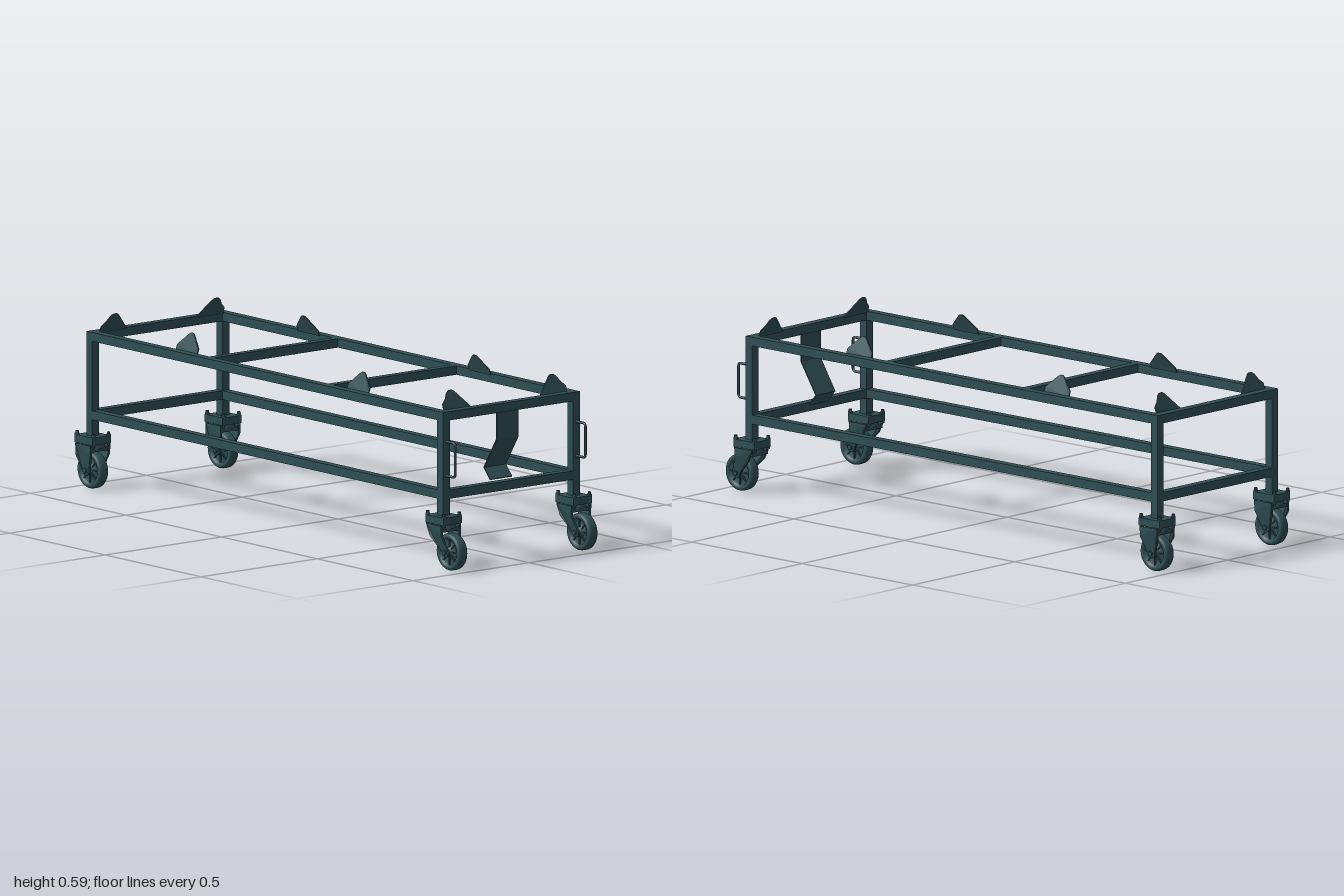
import * as THREE from 'three';

const paint = new THREE.MeshStandardMaterial({ color: 0x2f4f55, side: THREE.DoubleSide });
const X0 = -0.94, X1 = 0.893, Z = 0.28, BAR = 0.03;

function add(parent, name, geo, x = 0, y = 0, z = 0) {
  const m = new THREE.Mesh(geo, paint);
  m.name = name;
  m.position.set(x, y, z);
  parent.add(m);
  return m;
}
const box = (w, h, d) => new THREE.BoxGeometry(w, h, d);
const rod = (r, len, n = 20) => new THREE.CylinderGeometry(r, r, len, n);
const polygon = pts => new THREE.Shape(pts.map(p => new THREE.Vector2(...p)));

// Shift z as a function of y, to lean a flat plate
function lean(geo, rule) {
  const p = geo.attributes.position;
  for (let i = 0; i < p.count; i++) p.setZ(i, p.getZ(i) + rule(p.getY(i)));
  geo.computeVertexNormals();
  return geo;
}

// Thin guide tab leaning inward; outline in (along rail, height above rail)
function tab(pts) {
  const g = new THREE.ExtrudeGeometry(polygon(pts), { depth: 0.004, bevelEnabled: false });
  return lean(g, y => Math.max(y, 0) * 0.42);
}

// Wheel with tyre, recessed web, hub and ribs; axle along z
function buildWheel() {
  const wheel = new THREE.Group();
  wheel.name = 'wheel';
  const half = [[0.008, 0.021], [0.016, 0.021], [0.018, 0.009], [0.042, 0.009], [0.044, 0.017],
    [0.052, 0.019], [0.058, 0.018], [0.0615, 0.013], [0.0625, 0.006]];
  const profile = [...half, ...half.slice().reverse().map(([r, a]) => [r, -a])];
  const tyre = new THREE.LatheGeometry(profile.map(p => new THREE.Vector2(...p)).reverse(), 40);
  add(wheel, 'tyre', tyre).rotation.x = Math.PI / 2;
  for (let i = 0; i < 8; i++) {
    const a = i * Math.PI / 4;
    const rib = add(wheel, 'wheelRib', box(0.03, 0.004, 0.028), 0.03 * Math.cos(a), 0.03 * Math.sin(a));
    rib.rotation.z = a;
  }
  return wheel;
}

// Caster below a post; offset is the trail of the wheel along x
function buildCaster(offset) {
  const caster = new THREE.Group();
  caster.name = 'caster';
  add(caster, 'mountingPlate', box(0.094, 0.026, 0.08), 0, 0.167, 0);
  add(caster, 'swivelRace', new THREE.CylinderGeometry(0.036, 0.042, 0.018, 28), 0, 0.147, 0);
  add(caster, 'forkCrown', box(0.074, 0.012, 0.076), 0, 0.135, 0);
  for (const dx of [-1, 1]) for (const dz of [-1, 1]) {
    add(caster, 'plateBolt', rod(0.006, 0.046, 6), dx * 0.042, 0.17, dz * 0.033);
    add(caster, 'plateBoltWasher', rod(0.008, 0.006, 12), dx * 0.042, 0.182, dz * 0.033);
  }
  // Fork legs taper down to the axle and pinch in towards it
  const outline = new THREE.Shape();
  outline.moveTo(-0.04, 0.152);
  outline.lineTo(0.04, 0.152);
  outline.lineTo(0.038, 0.118);
  outline.lineTo(offset + 0.017, 0.064);
  outline.absarc(offset, 0.0625, 0.016, 0, -Math.PI, true);
  outline.lineTo(-0.038 + offset * 0.4, 0.112);
  outline.closePath();
  for (const s of [1, -1]) {
    const leg = lean(new THREE.ExtrudeGeometry(outline, { depth: 0.008, bevelEnabled: false, curveSegments: 10 }),
      y => 0.022 + 0.013 * THREE.MathUtils.clamp((y - 0.06) / 0.05, 0, 1));
    if (s < 0) leg.rotateY(Math.PI).scale(-1, 1, 1);
    add(caster, 'forkLeg', leg);
    add(caster, 'axleNut', rod(0.009, 0.008, 6), offset, 0.0625, s * 0.033).rotation.x = Math.PI / 2;
  }
  add(caster, 'axle', rod(0.006, 0.074, 14), offset, 0.0625, 0).rotation.x = Math.PI / 2;
  const wheel = buildWheel();
  wheel.position.set(offset, 0.0625, 0);
  caster.add(wheel);
  return caster;
}

// U-shaped pull handle with rounded corners, projecting along +x
function handleGeometry() {
  const path = new THREE.CurvePath();
  const v = (x, y) => new THREE.Vector3(x, y, 0);
  const h = 0.058, d = 0.046, r = 0.012;
  path.add(new THREE.LineCurve3(v(-0.02, h), v(d - r, h)));
  path.add(new THREE.QuadraticBezierCurve3(v(d - r, h), v(d, h), v(d, h - r)));
  path.add(new THREE.LineCurve3(v(d, h - r), v(d, r - h)));
  path.add(new THREE.QuadraticBezierCurve3(v(d, r - h), v(d, -h), v(d - r, -h)));
  path.add(new THREE.LineCurve3(v(d - r, -h), v(-0.02, -h)));
  return new THREE.TubeGeometry(path, 60, 0.0045, 10);
}

export function createModel() {
  const cart = new THREE.Group();
  cart.name = 'cartFrame';
  const mid = (X0 + X1) / 2, len = X1 - X0;

  // Posts and casters
  for (const s of [-1, 1]) for (const x of [X0, X1]) {
    add(cart, 'cornerPost', box(BAR, 0.35, BAR), x, 0.355, s * Z);
    const caster = buildCaster(x === X1 ? 0.044 : 0);
    caster.position.set(x, 0, s * Z);
    cart.add(caster);
  }

  // Upper and lower rails
  for (const y of [0.515, 0.25]) {
    for (const s of [-1, 1]) add(cart, 'sideRail', box(len - BAR, BAR, BAR), mid, y, s * Z);
    for (const x of [X0, X1]) add(cart, 'endRail', box(BAR, BAR, 2 * Z - BAR), x, y, 0);
  }
  for (const x of [-0.335, 0.285]) add(cart, 'crossRail', box(0.028, BAR, 2 * Z - BAR), x, 0.515, 0);

  // Guide tabs in the middle of the sides
  const sidePts = [[-0.056, -0.004], [0.056, -0.004], [0.056, 0.015], [0.014, 0.054], [0.006, 0.059],
    [-0.006, 0.059], [-0.014, 0.054], [-0.056, 0.015]];
  for (const x of [-0.47, 0.425]) for (const s of [-1, 1]) {
    add(cart, 'sideGuideTab', tab(sidePts), x, 0.53, s * 0.265).rotation.y = s > 0 ? Math.PI : 0;
  }

  // Guide tabs at the corners, on the end rails
  const cornerPts = [[0.15, -0.004], [0.265, -0.004], [0.265, 0.018], [0.247, 0.034], [0.237, 0.05],
    [0.227, 0.058], [0.212, 0.059], [0.203, 0.054], [0.15, 0]];
  for (const end of [-1, 1]) for (const s of [-1, 1]) {
    const t = add(cart, 'cornerGuideTab', tab(cornerPts.map(([u, y]) => [u * s, y])), end < 0 ? -0.925 : 0.878, 0.53, 0);
    t.rotation.y = -end * Math.PI / 2;
  }

  // Pull handles on the right-hand end posts
  for (const s of [-1, 1]) add(cart, 'pullHandle', handleGeometry(), 0.908, 0.372, s * Z);

  // Bent hanging plate on the same end
  const plate = polygon([[0.888, 0.505], [0.888, 0.405], [0.822, 0.302], [0.854, 0.266],
    [0.851, 0.263], [0.818, 0.302], [0.884, 0.407], [0.884, 0.505]]);
  add(cart, 'bentPlate', new THREE.ExtrudeGeometry(plate, { depth: 0.094, bevelEnabled: false }), 0, 0, -0.047);
  return cart;
}
